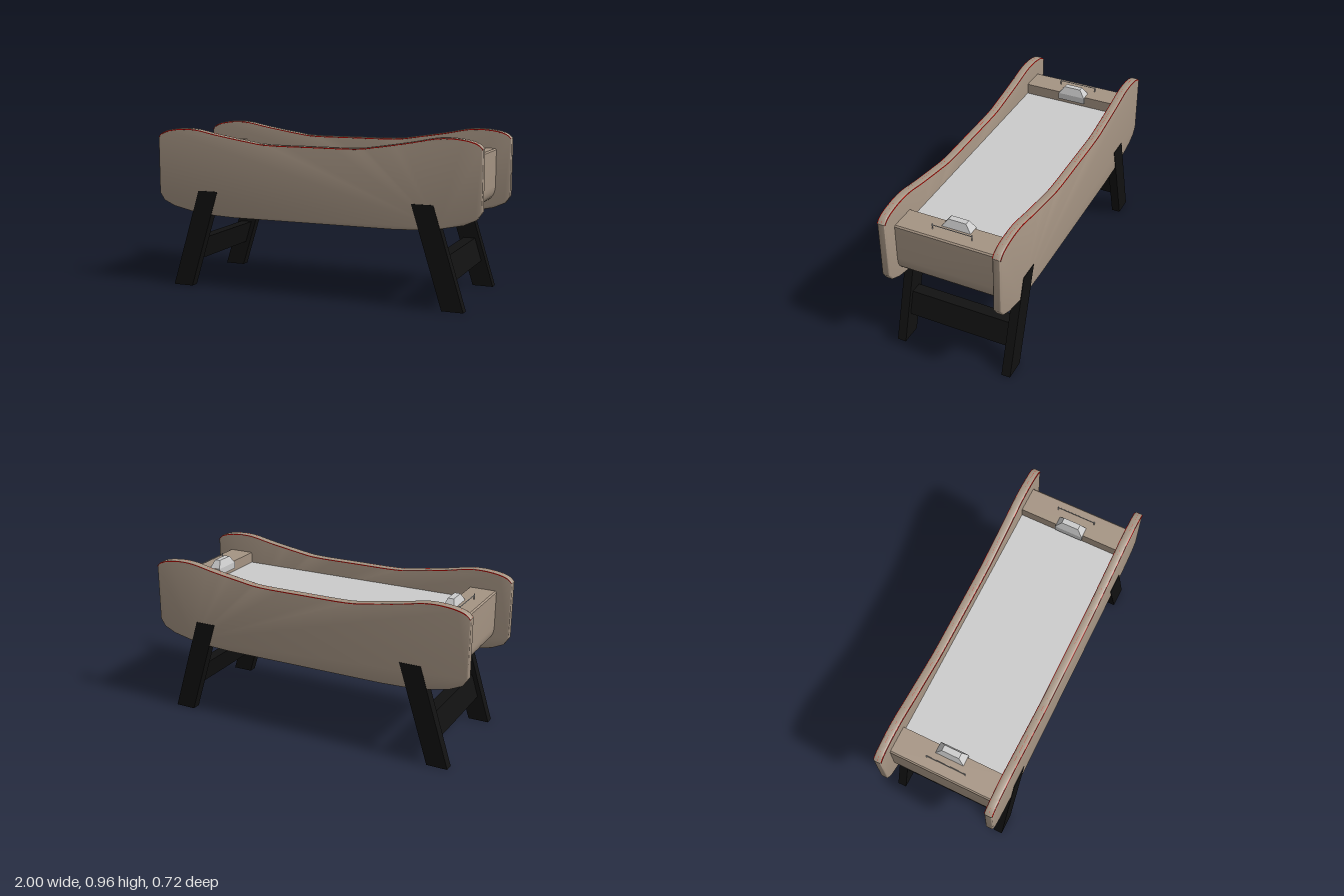
import * as THREE from 'three';
import { toCreasedNormals } from 'three/addons/utils/BufferGeometryUtils.js';

const mat = (color) => new THREE.MeshStandardMaterial({ color });
const wood = mat(0xa59483), red = mat(0xe01008), black = mat(0x111111), grey = mat(0xcccccc);

function add(parent, name, geometry, material, x = 0, y = 0, z = 0) {
  const mesh = new THREE.Mesh(geometry, material);
  mesh.name = name;
  mesh.position.set(x, y, z);
  parent.add(mesh);
  return mesh;
}

const vec = (pts) => pts.map(([x, y]) => new THREE.Vector2(x, y));

// Extrude an outline along z, centred on z = 0
function slab(points, depth, bevel = 0) {
  const geo = new THREE.ExtrudeGeometry(new THREE.Shape(points), {
    depth: depth - 2 * bevel, bevelEnabled: bevel > 0, bevelThickness: bevel,
    bevelSize: bevel, bevelOffset: -bevel, bevelSegments: 3,
  });
  geo.translate(0, 0, -(depth - 2 * bevel) / 2);
  return toCreasedNormals(geo, 0.6);
}

// Mirror a right half (ordered from the middle outwards) to a full run from +x to -x
function mirrored(half) {
  const left = half.filter(([x]) => x > 0).map(([x, y]) => [-x, y]);
  return [...half.slice().reverse(), ...left];
}

// Wavy top edge and rounded lower edge of the side panels
const topEdge = new THREE.SplineCurve(vec(mirrored([
  [0, 0.877], [0.27, 0.878], [0.4, 0.893], [0.6, 0.925], [0.73, 0.95],
  [0.82, 0.955], [0.91, 0.946], [0.97, 0.928], [1, 0.902],
]))).getPoints(64);
const lowerEdge = vec([
  [-1, 0.56], [-0.97, 0.515], [-0.9, 0.483], [-0.76, 0.453], [-0.63, 0.44], [-0.5, 0.435],
  [0.5, 0.435], [0.63, 0.44], [0.76, 0.453], [0.9, 0.483], [0.97, 0.515], [1, 0.56],
]);

function sidePanel(z) {
  const group = new THREE.Group();
  group.name = 'sidePanel';
  add(group, 'panel', slab([...topEdge, ...lowerEdge], 0.046, 0.008), wood);

  // Trim strip with a slight ridge along its middle
  const under = topEdge.map((p) => new THREE.Vector2(p.x * 0.997, p.y - 0.012)).reverse();
  const trim = new THREE.ExtrudeGeometry(new THREE.Shape([...topEdge, ...under]), {
    depth: 0.001, bevelThickness: 0.0245, bevelSize: 0.004, bevelOffset: -0.004, bevelSegments: 1,
  });
  add(group, 'topTrim', toCreasedNormals(trim, 0.15), red);
  group.position.z = z;
  return group;
}

// Four-sided block whose top is smaller than its base
function frustum(w, h, d, topW, topD) {
  const geo = new THREE.BoxGeometry(w, h, d);
  const p = geo.attributes.position;
  for (let i = 0; i < p.count; i++) {
    if (p.getY(i) > 0) p.setXYZ(i, p.getX(i) * topW / w, h / 2, p.getZ(i) * topD / d);
  }
  geo.computeVertexNormals();
  return geo;
}

// One end of the table, built at +x
function tableEnd() {
  const group = new THREE.Group();

  // End box with a rounded lower corner
  const s = new THREE.Shape();
  s.moveTo(0.75, 0.507);
  s.lineTo(0.8, 0.507);
  s.bezierCurveTo(0.87, 0.515, 0.91, 0.55, 0.91, 0.62);
  s.lineTo(0.91, 0.832);
  s.lineTo(0.902, 0.84);
  s.lineTo(0.75, 0.84);
  s.closePath();
  add(group, 'endBox', slab(s.getPoints(8), 0.625), wood);

  // Score block sitting over the inner edge
  add(group, 'scoreBlock', frustum(0.068, 0.045, 0.172, 0.035, 0.104), grey, 0.769, 0.8625);
  add(group, 'scoreBlockLip', new THREE.BoxGeometry(0.015, 0.04, 0.172), grey, 0.7425, 0.82);

  // Score wire on two posts
  const rod = new THREE.CylinderGeometry(0.0025, 0.0025, 0.235, 8).rotateX(Math.PI / 2);
  add(group, 'scoreWire', rod, grey, 0.845, 0.865);
  for (const z of [-0.117, 0.117]) {
    add(group, 'scorePost', new THREE.BoxGeometry(0.005, 0.034, 0.005), grey, 0.845, 0.857, z);
  }

  // Splayed legs and the cross beam leaning with them
  const leg = slab(vec([[0.785, 0], [0.91, 0], [0.73, 0.585], [0.603, 0.585]]), 0.053);
  for (const z of [-0.3335, 0.3335]) add(group, 'leg', leg, black, 0, 0, z);
  const beam = slab(vec([[0.765, 0.155], [0.835, 0.155], [0.793, 0.292], [0.723, 0.292]]), 0.63);
  add(group, 'crossBeam', beam, black);
  return group;
}

export function createModel() {
  const model = new THREE.Group();
  model.name = 'gameTable';

  for (const z of [-0.334, 0.334]) model.add(sidePanel(z));

  // Playing field and its closed underside
  add(model, 'playingField', new THREE.BoxGeometry(1.51, 0.258, 0.625), grey, 0, 0.646, 0);

  const left = tableEnd();
  left.name = 'leftEnd';
  const right = tableEnd();
  right.name = 'rightEnd';
  right.rotation.y = Math.PI;
  model.add(left, right);
  return model;
}
